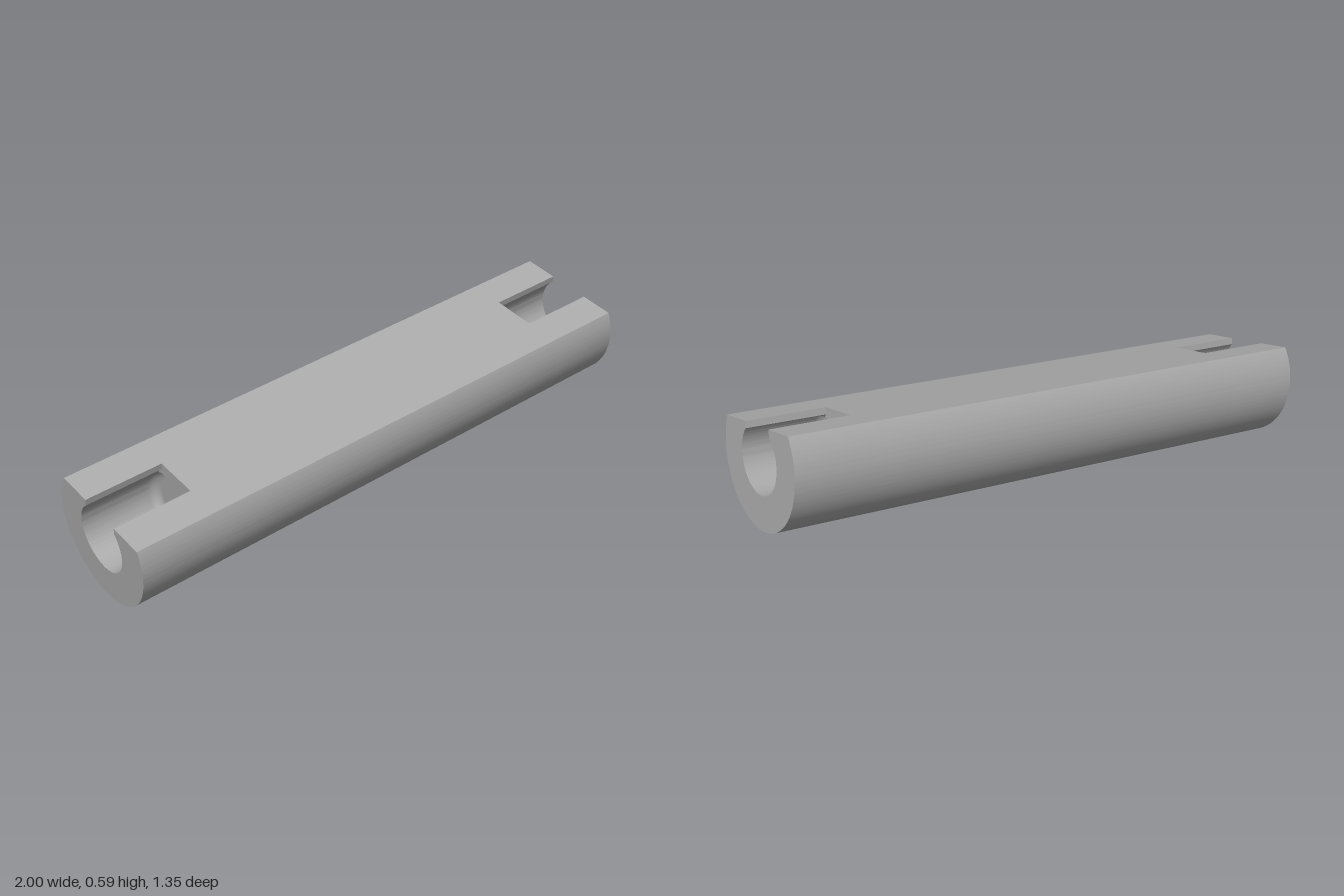
import * as THREE from 'three';
import { toCreasedNormals } from 'three/addons/utils/BufferGeometryUtils.js';

const R = 0.23;        // rod radius
const FLAT = 0.107;    // height of the flat above the axis
const BORE = 0.115;    // bore radius
const SLOT = 0.079;    // half width of the slot above the bore
const LENGTH = 2.03;
const DEPTH = 0.28;    // bore depth
const FILLET = 0.03;   // rounding at the bore bottom

// D-shaped section, optionally cut by the bore and its open slot
function section(cut) {
  const a = Math.asin(FLAT / R);
  const shape = new THREE.Shape();
  shape.absarc(0, 0, R, a, Math.PI - a, true);
  if (cut) {
    const b = Math.acos(SLOT / BORE);
    shape.lineTo(-SLOT, FLAT);
    shape.absarc(0, 0, BORE, Math.PI - b, b, false);
    shape.lineTo(SLOT, FLAT);
  }
  shape.closePath();
  return shape;
}

function extrude(cut, length, z) {
  const g = new THREE.ExtrudeGeometry(section(cut), { depth: length, bevelEnabled: false, curveSegments: 72 });
  g.translate(0, 0, z);
  return toCreasedNormals(g, 0.5);
}

export function createModel() {
  const metal = new THREE.MeshStandardMaterial({ color: 0xaaaaaa, side: THREE.DoubleSide });
  metal.name = 'grey metal';
  const model = new THREE.Group();
  model.name = 'slottedRod';
  const add = (name, geometry) => {
    const mesh = new THREE.Mesh(geometry, metal);
    mesh.name = name;
    model.add(mesh);
  };

  // Solid middle
  const inner = LENGTH / 2 - DEPTH;
  add('rodBody', extrude(false, 2 * inner, -inner));

  for (const side of [1, -1]) {
    const end = side > 0 ? 'right' : 'left';
    // Bored and slotted end
    add(end + 'SlottedEnd', extrude(true, DEPTH, side > 0 ? inner : -LENGTH / 2));

    // Rounded corner at the bottom of the bore
    const profile = [];
    for (let i = 0; i <= 8; i++) {
      const t = (i / 8) * Math.PI / 2;
      profile.push(new THREE.Vector2(
        BORE - FILLET + FILLET * Math.cos(t),
        -side * (inner + FILLET - FILLET * Math.sin(t))));
    }
    const gap = Math.asin(SLOT / BORE);
    const fillet = new THREE.LatheGeometry(profile, 64, gap, 2 * Math.PI - 2 * gap);
    fillet.rotateX(-Math.PI / 2);
    add(end + 'BoreFillet', fillet);
  }

  // Tilt the rod: its axis follows u, its flat faces n
  const u = new THREE.Vector3(1.785, 0.22, -0.94).normalize();
  const n = new THREE.Vector3(0, 0.94, 0.22).normalize();
  const v = new THREE.Vector3().crossVectors(n, u);
  model.quaternion.setFromRotationMatrix(new THREE.Matrix4().makeBasis(v, n, u));
  model.position.y = 0.339;

  const group = new THREE.Group();
  group.add(model);
  return group;
}
